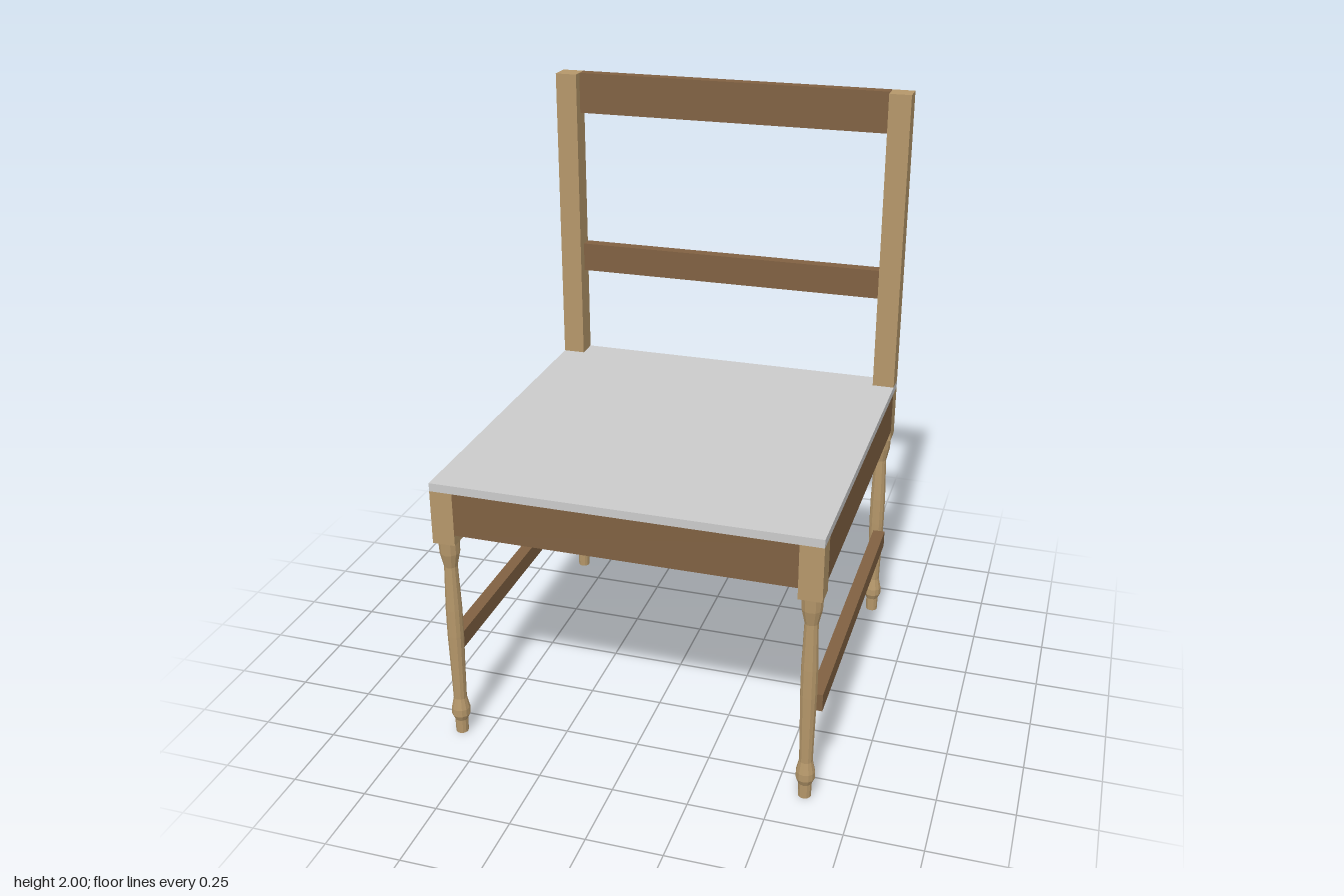
import * as THREE from 'three';

const EDGE = 0.632;   // outer half-width of the chair
const POST = 0.076;   // square post section
const RAIL = 0.042;   // rail thickness
const INNER = EDGE - POST;

export function createModel() {
  const paleWood = new THREE.MeshStandardMaterial({ color: 0xb5976a });
  paleWood.flatShading = true;
  const darkWood = new THREE.MeshStandardMaterial({ color: 0x806142 });
  const seatGrey = new THREE.MeshStandardMaterial({ color: 0xcbcbcb });
  paleWood.name = 'pale wood';
  darkWood.name = 'dark wood';
  seatGrey.name = 'seat grey';

  const chair = new THREE.Group();
  chair.name = 'chair';

  // Box given by its lower and upper corners
  const box = (name, material, [x0, y0, z0], [x1, y1, z1]) => {
    const mesh = new THREE.Mesh(new THREE.BoxGeometry(x1 - x0, y1 - y0, z1 - z0), material);
    mesh.position.set((x0 + x1) / 2, (y0 + y1) / 2, (z0 + z1) / 2);
    mesh.name = name;
    chair.add(mesh);
  };
  // Rail across the width, or along the depth, flush with the outer face on one side
  const crossRail = (name, y0, y1, side) => {
    const z = side * (EDGE - RAIL / 2);
    box(name, darkWood, [-INNER, y0, z - RAIL / 2], [INNER, y1, z + RAIL / 2]);
  };
  const sideRail = (name, y0, y1, side) => {
    const x = side * (EDGE - RAIL / 2);
    box(name, darkWood, [x - RAIL / 2, y0, -INNER], [x + RAIL / 2, y1, INNER]);
  };

  // Turned leg profile: foot, bead, long swell, neck, flared cap
  const profile = [
    [0, 0], [0.021, 0], [0.022, 0.05], [0.031, 0.07], [0.031, 0.095], [0.022, 0.135],
    [0.024, 0.25], [0.027, 0.38], [0.027, 0.48], [0.022, 0.64], [0.033, 0.69],
    [0.035, 0.736], [0, 0.736],
  ].map(([r, y]) => new THREE.Vector2(r, y));
  const legGeometry = new THREE.LatheGeometry(profile, 12);

  const c = EDGE - POST / 2;
  for (const sx of [-1, 1]) {
    const sideName = sx > 0 ? 'left' : 'right';
    for (const sz of [-1, 1]) {
      const corner = (sz > 0 ? 'front' : 'back') + (sx > 0 ? 'Left' : 'Right');
      const leg = new THREE.Mesh(legGeometry, paleWood);
      leg.position.set(sx * c, 0, sz * c);
      leg.name = corner + 'Leg';
      chair.add(leg);
      box(corner + 'LegBlock', paleWood,
        [sx * c - POST / 2, 0.736, sz * c - POST / 2], [sx * c + POST / 2, 0.92, sz * c + POST / 2]);
    }
    // Upright above the seat
    box(sideName + 'BackPost', paleWood,
      [sx * c - POST / 2, 0.948, -EDGE], [sx * c + POST / 2, 2, -INNER]);
    sideRail(sideName + 'Apron', 0.774, 0.92, sx);
    sideRail(sideName + 'Stretcher', 0.30, 0.36, sx);
  }

  crossRail('frontApron', 0.774, 0.92, 1);
  crossRail('backApron', 0.774, 0.92, -1);
  crossRail('middleBackRail', 1.267, 1.37, -1);
  crossRail('topBackRail', 1.858, 2, -1);

  box('seat', seatGrey, [-EDGE, 0.92, -EDGE], [EDGE, 0.948, EDGE]);
  return chair;
}
